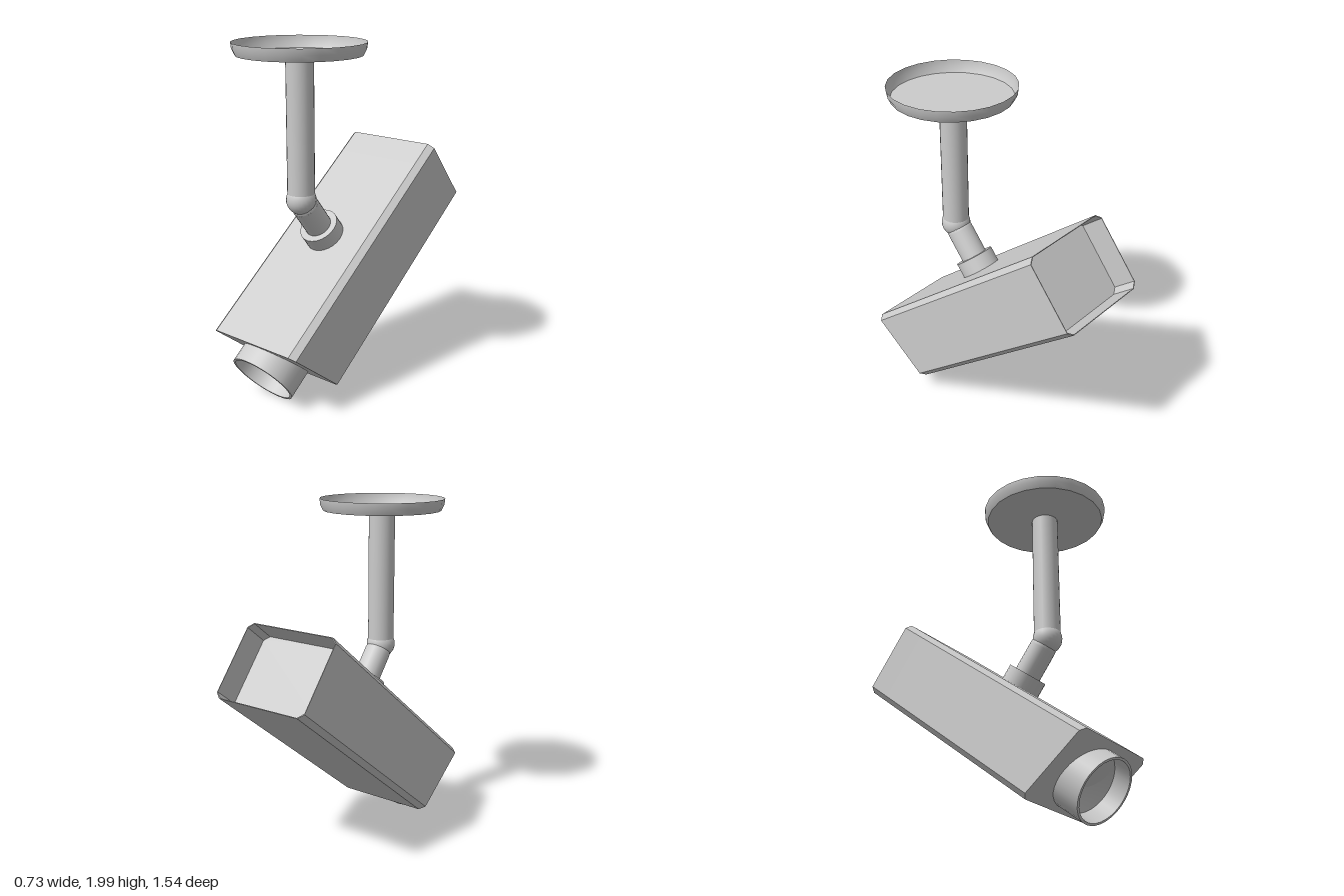
import * as THREE from 'three';

const material = new THREE.MeshStandardMaterial({ color: 0xcccccc, side: THREE.DoubleSide });

function part(name, geometry, x = 0, y = 0, z = 0) {
  const mesh = new THREE.Mesh(geometry, material);
  mesh.name = name;
  mesh.position.set(x, y, z);
  return mesh;
}

const profile = (points) => points.map(([r, y]) => new THREE.Vector2(r, y));

// Chamfered rectangle, used as the cross-section of the housing
function section(w, bottom, top, cx = 0.035, cy = 0.03) {
  return [
    [w - cx, bottom], [w, bottom + cy], [w, top - cy], [w - cx, top],
    [cx - w, top], [-w, top - cy], [-w, bottom + cy], [cx - w, bottom],
  ].map(([x, y]) => new THREE.Vector2(x, y));
}

export function createModel() {
  const model = new THREE.Group();
  model.name = 'ceilingCamera';
  const stemZ = 0.327, jointY = 1.13;

  // Ceiling mount: shallow open dish, stem and ball joint
  model.add(part('ceilingDish', new THREE.LatheGeometry(profile(
    [[0, 1.93], [0.345, 1.93], [0.345, 1.93], [0.362, 1.965], [0.366, 2]]), 24), 0, 0, stemZ));
  const stemLength = 1.93 - jointY;
  model.add(part('stem', new THREE.CylinderGeometry(0.077, 0.077, stemLength, 24),
    0, jointY + stemLength / 2, stemZ));
  model.add(part('ballJoint', new THREE.SphereGeometry(0.085, 24, 16), 0, jointY, stemZ));

  // Everything below the joint shares the downward tilt
  const head = new THREE.Group();
  head.name = 'tiltedHead';
  head.rotation.x = 0.667;
  model.add(head);

  const bottom = 0.305, top = 0.772, back = -1.211, panel = -1.055, armZ = -0.44;

  // Arm and collar on top of the housing
  head.add(part('arm', new THREE.CylinderGeometry(0.077, 0.077, 0.28, 24), 0, 0.895, armZ));
  head.add(part('armEnd', new THREE.SphereGeometry(0.077, 24, 16), 0, 1.03, armZ));
  head.add(part('collar', new THREE.CylinderGeometry(0.115, 0.115, 0.1, 24), 0, 0.81, armZ));

  // Housing: chamfered prism with a raked front face
  const housing = new THREE.ExtrudeGeometry(new THREE.Shape(section(0.315, bottom, top)),
    { depth: 1, bevelEnabled: false });
  const p = housing.attributes.position;
  for (let i = 0; i < p.count; i++) {
    const front = 0.218 + 0.248 * (p.getY(i) - bottom);
    p.setZ(i, p.getZ(i) > 0.5 ? front : panel);
  }
  housing.computeVertexNormals();
  head.add(part('housing', housing));

  // Thin hood continuing the housing around the recessed rear panel
  const hood = new THREE.Shape(section(0.315, bottom, top));
  hood.holes.push(new THREE.Path(section(0.311, bottom + 0.004, top - 0.004).reverse()));
  head.add(part('rearHood', new THREE.ExtrudeGeometry(hood,
    { depth: panel - back, bevelEnabled: false }), 0, 0, back));

  // Lens barrel: open tube with a dished glass inside
  const barrel = new THREE.LatheGeometry(profile([
    [0.194, 0.15], [0.194, 0.42], [0.194, 0.42], [0.18, 0.42], [0.18, 0.42], [0.178, 0.31],
  ]), 32);
  const glass = new THREE.LatheGeometry(profile([
    [0, 0.26], [0.07, 0.266], [0.13, 0.284], [0.178, 0.31],
  ]), 32);
  for (const [name, geometry] of [['lensBarrel', barrel], ['lensGlass', glass]]) {
    head.add(part(name, geometry.rotateX(Math.PI / 2), 0, 0.532, 0));
  }

  return model;
}
